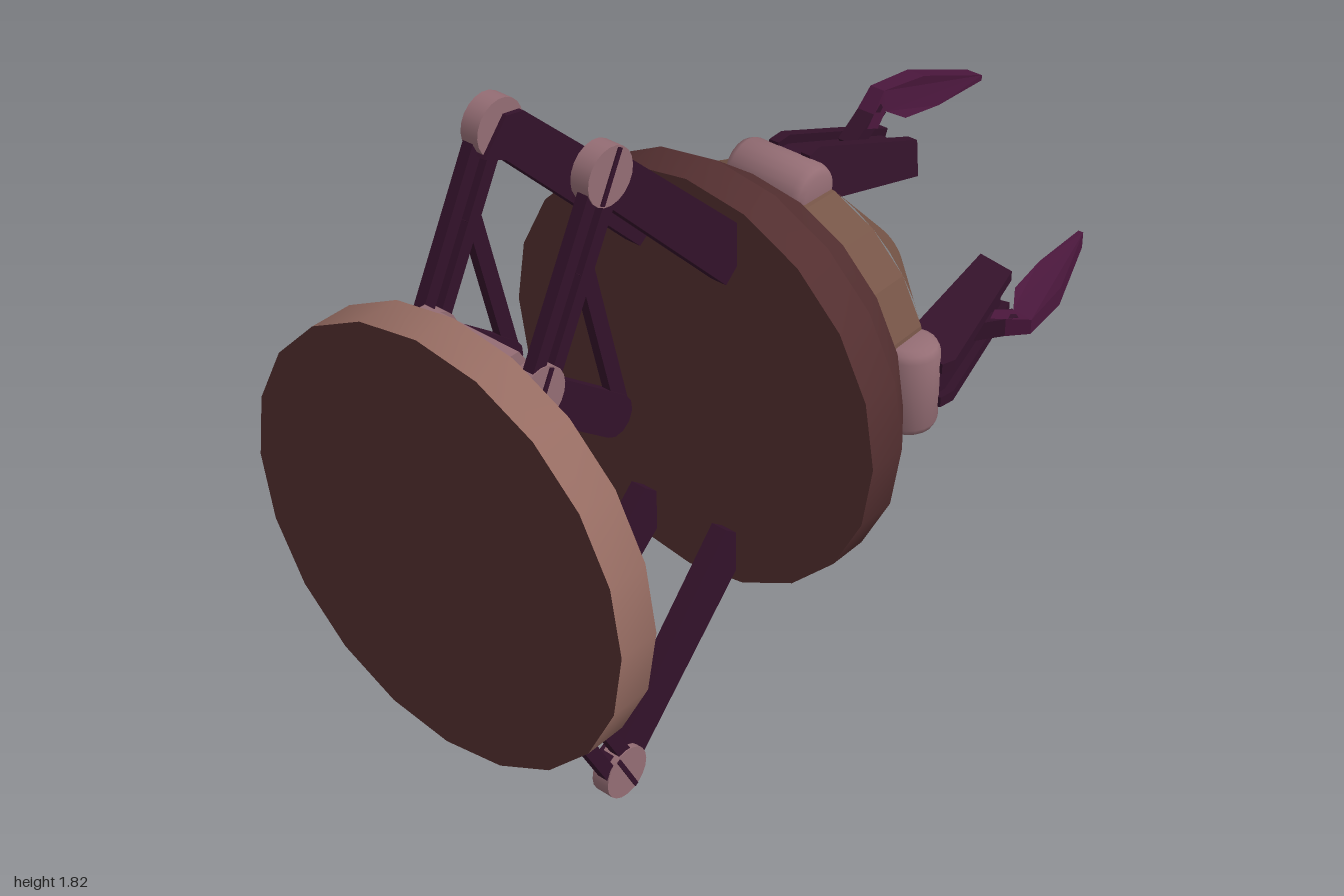
import * as THREE from 'three';
import { toCreasedNormals } from 'three/addons/utils/BufferGeometryUtils.js';

const mat = (color) => new THREE.MeshStandardMaterial({ color });
const PINK = mat(0x946d74), PURPLE = mat(0x33122a), TIP = mat(0x4a173c);
const RED = mat(0x532f30), BROWN = mat(0x765547), CLAY = mat(0x966c62);
const AXIS_Y = 0.907;

function add(parent, name, geometry, material) {
  const mesh = new THREE.Mesh(geometry, material);
  mesh.name = name;
  parent.add(mesh);
  return mesh;
}

// Solid of revolution about x, from [x, radius] pairs
function turned(points, sides, crease = 0.5) {
  const g = new THREE.LatheGeometry(points.map(([x, r]) => new THREE.Vector2(r, x)), sides);
  g.rotateZ(-Math.PI / 2);
  return toCreasedNormals(g, crease);
}

// Flat plate: xy outline, thickness centred on z
function plate(points, thick, z = 0) {
  const shape = new THREE.Shape(points.map(([x, y]) => new THREE.Vector2(x, y)));
  const g = new THREE.ExtrudeGeometry(shape, { depth: thick, bevelEnabled: false });
  return g.translate(0, 0, z - thick / 2);
}

// Straight bar from a to b, shifted sideways by offset
function bar(a, b, width, thick, z, offset = 0) {
  const dx = b[0] - a[0], dy = b[1] - a[1], len = Math.hypot(dx, dy);
  const g = new THREE.BoxGeometry(len, width, thick);
  g.translate(len / 2, offset, 0).rotateZ(Math.atan2(dy, dx));
  return g.translate(a[0], a[1], z);
}

// Upper linkage (both sides); the lower one is the same turned half round x
function linkage(name) {
  const group = new THREE.Group();
  group.name = name;
  const hip = [-0.82, 0.405], knee = [-0.59, 0.84], heel = [-0.59, 0.225];
  for (const s of [1, -1]) {
    const z = s * 0.167;
    for (const [jointName, p] of [['hipJoint', hip], ['kneeJoint', knee]]) {
      const disc = new THREE.CylinderGeometry(0.07, 0.07, 0.05, 20).rotateX(Math.PI / 2);
      add(group, jointName, disc.translate(p[0], p[1], s * 0.16), PINK);
      const d = [0.03, 0.058];
      add(group, 'jointSlot', bar([p[0] - d[0], p[1] - d[1]], [p[0] + d[0], p[1] + d[1]], 0.012, 0.01, s * 0.184), PURPLE);
    }
    for (const o of [0.033, -0.028])
      add(group, 'twinLink', bar(hip, knee, 0.036, 0.03, z, o), PURPLE);
    // Thick forearm, leaning in towards the body
    const arm = plate([[-0.65, 0.79], [-0.59, 0.765], [-0.18, 0.355], [-0.11, 0.41],
      [-0.11, 0.475], [-0.53, 0.862], [-0.58, 0.87]], 0.045, 0);
    const pos = arm.attributes.position;
    for (let i = 0; i < pos.count; i++)
      pos.setZ(i, pos.getZ(i) + s * (0.13 - 0.035 * (pos.getX(i) + 0.14)));
    arm.computeVertexNormals();
    add(group, 'forearm', arm, PURPLE);
    // Short lever with a rounded end, and the rod that drives it
    const lever = [[-0.865, 0.40], [-0.835, 0.345]];
    for (let i = 0; i <= 6; i++) {
      const a = -2.25 + i * Math.PI / 6;
      lever.push([heel[0] + 0.05 * Math.cos(a), heel[1] + 0.052 * Math.sin(a)]);
    }
    lever.push([-0.77, 0.425]);
    add(group, 'lever', plate(lever, 0.035, z), PURPLE);
    add(group, 'driveRod', bar([-0.665, 0.645], [-0.57, 0.25], 0.042, 0.025, z), PURPLE);
  }
  return group;
}

// Claw finger built at the top: x forward, y outward, z across
function finger({ name, angle, bend, tipShift, tipTilt }) {
  const group = new THREE.Group();
  group.name = name;
  const knuckle = turned([[-0.12, 0], [-0.12, 0.05], [-0.112, 0.066], [-0.095, 0.074],
    [0.095, 0.074], [0.112, 0.066], [0.12, 0.05], [0.12, 0]], 20, 0.7);
  add(group, 'knuckle', knuckle.rotateY(Math.PI / 2).translate(0.198, 0.407, 0), PINK);

  // Channel-shaped first segment: two splayed cheeks round a core
  const segment = new THREE.Group();
  segment.name = 'fingerSegment';
  segment.position.set(0.2, 0.41, 0);
  segment.rotation.z = bend;
  group.add(segment);
  const cheek = [[0.03, -0.04], [0.08, -0.06], [0.48, -0.125], [0.48, -0.03], [0.07, 0.08], [0.03, 0.07]];
  for (const s of [1, -1]) {
    const g = plate(cheek, 0.028, s * 0.056);
    const pos = g.attributes.position;
    for (let i = 0; i < pos.count; i++) {
      const axis = 0.03 - 0.25 * pos.getX(i);
      pos.setZ(i, pos.getZ(i) + s * 0.16 * (axis - pos.getY(i)));
    }
    g.computeVertexNormals();
    add(segment, 'cheek', g, PURPLE);
  }
  add(segment, 'core', plate([[0.03, -0.02], [0.46, -0.09], [0.46, -0.045], [0.07, 0.055], [0.03, 0.05]], 0.09), PURPLE);

  // Blade tip, narrowing towards the point
  const tip = new THREE.Group();
  tip.name = 'fingerTip';
  tip.position.set(0.56, 0.46 + tipShift, 0);
  tip.rotation.z = tipTilt;
  group.add(tip);
  const blade = plate([[-0.05, -0.03], [-0.01, -0.045], [0.02, -0.01], [0.09, -0.055], [0.24, -0.085],
    [0.44, -0.1], [0.44, -0.085], [0.18, 0.022], [0.02, 0.045]], 0.08);
  const pos = blade.attributes.position;
  for (let i = 0; i < pos.count; i++) {
    const x = pos.getX(i), ridge = pos.getY(i) > 0 ? 0.75 : 1;
    pos.setZ(i, pos.getZ(i) * ridge * (x < 0.05 ? 0.7 : 1.06 - 1.1 * x));
  }
  blade.computeVertexNormals();
  add(tip, 'blade', blade, TIP);
  add(tip, 'tipHinge', bar([-0.09, -0.07], [0.015, 0.0], 0.04, 0.05, 0), PURPLE);
  group.rotation.x = angle;
  return group;
}

export function createModel() {
  const model = new THREE.Group();
  model.name = 'clawMachine';
  const body = new THREE.Group();
  body.name = 'body';
  body.position.y = AXIS_Y;
  model.add(body);

  // Mounting base: light rim, dark faces
  add(body, 'baseRim', turned([[-1, 0.56], [-0.89, 0.56]], 20), CLAY);
  add(body, 'baseBack', turned([[-1, 0], [-1, 0.56]], 20), RED);
  add(body, 'baseFront', turned([[-0.89, 0.56], [-0.89, 0]], 20), RED);
  add(body, 'mountBlock', plate([[-0.9, -0.51], [-0.84, -0.51], [-0.775, -0.41], [-0.775, 0.41],
    [-0.84, 0.51], [-0.9, 0.51]], 0.28), PINK);

  // Head: collar, drum and blunt cone
  add(body, 'collar', turned([[-0.14, 0], [-0.14, 0.56], [-0.03, 0.56], [0.1, 0.465],
    [0.1, 0.435], [0.07, 0.435], [0.07, 0]], 20), RED);
  add(body, 'drum', turned([[0.07, 0.425], [0.25, 0.42]], 20, 0.1), BROWN);
  add(body, 'drumLip', turned([[0.07, 0.438], [0.107, 0.438], [0.107, 0.41]], 20), CLAY);
  add(body, 'cone', turned([[0.25, 0.42], [0.57, 0.112], [0.57, 0]], 40), BROWN);

  const upper = linkage('upperLinkage'), lower = linkage('lowerLinkage');
  lower.rotation.x = Math.PI;
  body.add(upper, lower);

  const q = Math.PI / 2;
  [
    { name: 'topFinger', angle: 0, bend: -0.11, tipShift: -0.012, tipTilt: 0 },
    { name: 'frontFinger', angle: q, bend: -0.03, tipShift: -0.008, tipTilt: 0 },
    { name: 'bottomFinger', angle: 2 * q, bend: 0.02, tipShift: 0.012, tipTilt: 0 },
    { name: 'backFinger', angle: -q, bend: 0.04, tipShift: 0.045, tipTilt: -0.06 },
  ].forEach((f) => body.add(finger(f)));
  return model;
}
